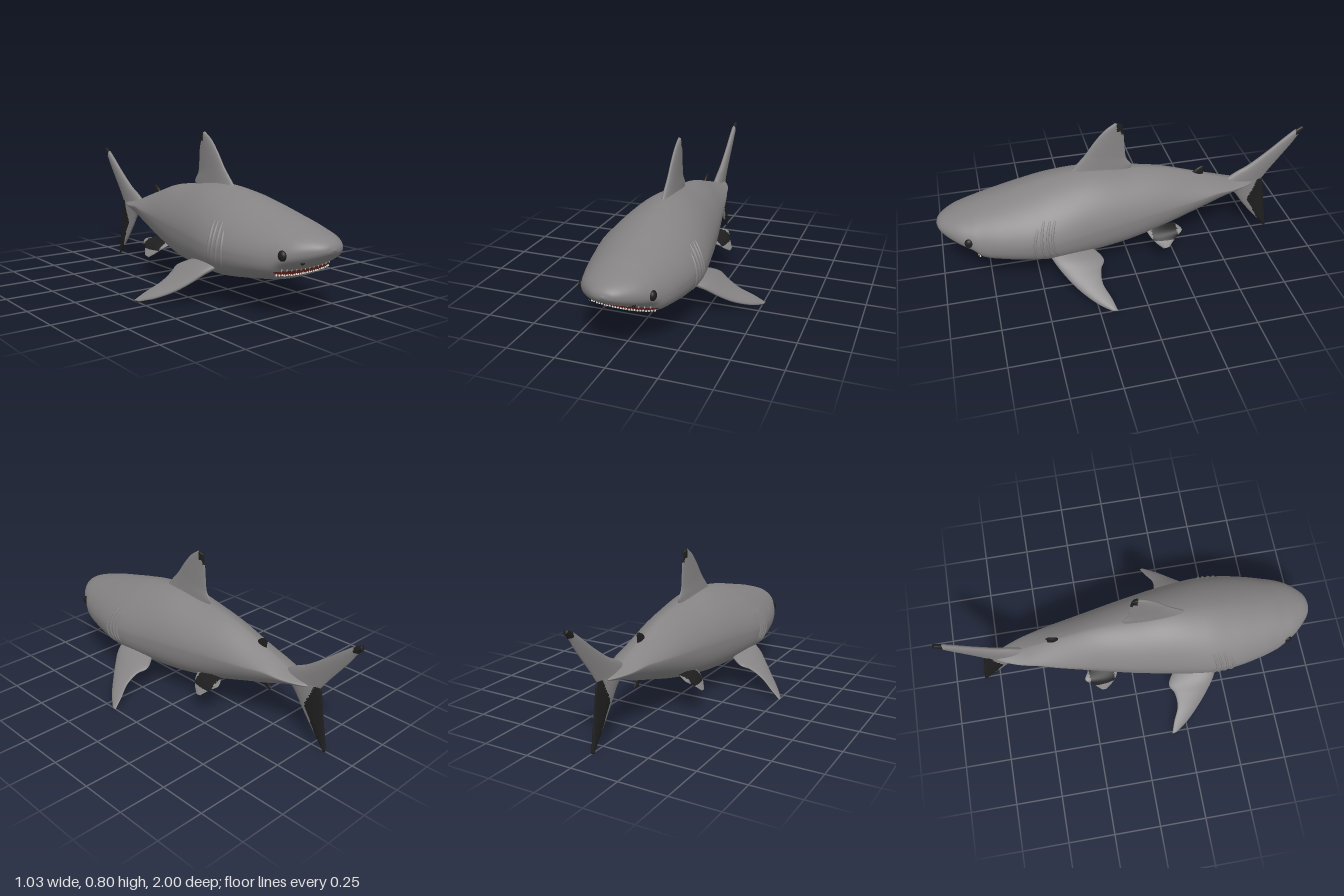
import * as THREE from 'three';

const mat = (name, color) => Object.assign(new THREE.MeshStandardMaterial({ color }), { name });
const V = (x, y, z) => new THREE.Vector3(x, y, z);
const lerp = THREE.MathUtils.lerp;

// Body stations: z, half width, top, bottom, height of the widest point
const STATIONS = [
  [-0.74, 0.004, 0.335, 0.325, 0.33], [-0.7, 0.035, 0.345, 0.315, 0.33],
  [-0.6, 0.075, 0.365, 0.29, 0.335], [-0.5, 0.1, 0.4, 0.25, 0.345],
  [-0.4, 0.125, 0.435, 0.22, 0.34], [-0.2, 0.165, 0.5, 0.165, 0.33],
  [0, 0.205, 0.53, 0.13, 0.32], [0.2, 0.24, 0.555, 0.115, 0.31],
  [0.4, 0.268, 0.537, 0.118, 0.295], [0.55, 0.262, 0.505, 0.138, 0.29],
  [0.7, 0.232, 0.467, 0.163, 0.285], [0.79, 0.205, 0.445, 0.187, 0.285],
  [0.83, 0.188, 0.432, 0.232, 0.3], [0.9, 0.147, 0.412, 0.265, 0.325],
  [0.96, 0.09, 0.39, 0.298, 0.34], [0.99, 0.045, 0.368, 0.325, 0.345],
  [1, 0, 0.346, 0.344, 0.345],
];

// Smooth cubic interpolation between stations
function station(z) {
  const S = STATIONS, last = S.length - 1;
  let i = 0;
  while (i < last - 1 && z > S[i + 1][0]) i++;
  const d = S[i + 1][0] - S[i][0], t = (z - S[i][0]) / d;
  const slope = (k, c) => {
    const a = Math.max(k - 1, 0), b = Math.min(k + 1, last);
    return (S[b][c] - S[a][c]) / (S[b][0] - S[a][0]);
  };
  const [hw, top, bottom, mid] = [1, 2, 3, 4].map((c) =>
    (2 * t ** 3 - 3 * t * t + 1) * S[i][c] + (t ** 3 - 2 * t * t + t) * d * slope(i, c) +
    (3 * t * t - 2 * t ** 3) * S[i + 1][c] + (t ** 3 - t * t) * d * slope(i + 1, c));
  const k = THREE.MathUtils.smoothstep(z, -0.6, 0.1);
  const nUp = lerp(1.35, 1.7, k) + 0.25 * THREE.MathUtils.smoothstep(z, 0.5, 0.9);
  return { hw: Math.max(hw, 0), top, bottom, mid, nUp, nLow: lerp(1.6, 2.5, k) };
}

// Half width of the body at a height, and the foremost surface at (x, y)
function widthAt(z, y) {
  const s = station(z), up = y > s.mid;
  const t = Math.abs(y - s.mid) / (up ? s.top - s.mid : s.mid - s.bottom);
  const n = up ? s.nUp : s.nLow;
  return t >= 1 ? 0 : s.hw * (1 - t ** n) ** (1 / n);
}
function frontZ(x, y) {
  let z = 0.999;
  while (z > 0.6 && widthAt(z, y) <= Math.abs(x)) z -= 0.001;
  return z;
}

// Skin closed loops of points; paint(centre, column) picks the material slot
function loft(rows, paint = () => 0) {
  const n = rows[0].length, pts = rows.flat(), lists = [[], []];
  const tris = [];
  let volume = 0;
  const o = rows[0][0];
  for (let i = 0; i < rows.length - 1; i++) {
    for (let j = 0; j < n; j++) {
      const a = i * n + j, b = i * n + (j + 1) % n, c = a + n, d = b + n;
      const centre = pts[a].clone().add(pts[b]).add(pts[c]).add(pts[d]).multiplyScalar(0.25);
      const slot = paint(centre, j / n);
      for (const t of [[a, b, c], [b, d, c]]) {
        tris.push([t, slot]);
        const [p, q, r] = t.map((k) => pts[k].clone().sub(o));
        volume += p.dot(q.cross(r));
      }
    }
  }
  for (const [t, slot] of tris) lists[slot].push(...(volume < 0 ? t.reverse() : t));
  const g = new THREE.BufferGeometry().setFromPoints(pts);
  g.setIndex([...lists[0], ...lists[1]]);
  g.addGroup(0, lists[0].length, 0);
  g.addGroup(lists[0].length, lists[1].length, 1);
  g.computeVertexNormals();
  return g;
}

// Fin from rows of [leading point, trailing point, half thickness]
function finGeometry(rows, normal, paint) {
  const lead = new THREE.CatmullRomCurve3(rows.map((r) => V(...r[0])));
  const trail = new THREE.CatmullRomCurve3(rows.map((r) => V(...r[1])));
  const N = V(...normal).normalize(), SPAN = 70, HALF = 22, loops = [];
  for (let i = 0; i <= SPAN; i++) {
    const t = i / SPAN, f = t * (rows.length - 1), k = Math.min(Math.floor(f), rows.length - 2);
    const h = lerp(rows[k][2], rows[k + 1][2], f - k);
    const L = lead.getPoint(t), T = trail.getPoint(t);
    loops.push(Array.from({ length: HALF * 2 }, (_, j) => {
      const a = (j / HALF) * Math.PI, u = (1 - Math.cos(a)) / 2;
      return L.clone().lerp(T, u).addScaledVector(N, h * Math.sin(a) * (1.25 - 0.5 * u));
    }));
  }
  const tip = loops[SPAN].reduce((s, p) => s.add(p), V(0, 0, 0)).divideScalar(HALF * 2);
  loops.push(loops[SPAN].map(() => tip.clone()));
  return loft(loops, paint);
}

export function createModel() {
  const model = new THREE.Group();
  model.name = 'shark';
  const grey = mat('skinGrey', 0x858383), black = mat('finBlack', 0x1e1e1e);
  const red = mat('mouthRed', 0x7c2c24), white = mat('toothWhite', 0xd8d4cc);
  const add = (name, geometry, material, parent = model) => {
    const m = new THREE.Mesh(geometry, material);
    m.name = name;
    parent.add(m);
    return m;
  };
  const skin = [grey, black];

  // Body
  const loops = [];
  for (let i = 0; i <= 110; i++) {
    const z = -0.74 + 1.74 * Math.sin((i / 110) * Math.PI / 2), s = station(z);
    loops.push(Array.from({ length: 64 }, (_, j) => {
      const a = (j / 64) * Math.PI * 2, c = Math.cos(a), v = Math.sin(a);
      const e = 2 / (v > 0 ? s.nUp : s.nLow);
      return V(Math.sign(c) * s.hw * Math.abs(c) ** e,
        s.mid + (v > 0 ? s.top - s.mid : s.bottom - s.mid) * Math.abs(v) ** e, z);
    }));
  }
  add('body', loft(loops), grey);

  // Upright fins on the centre line: [leadZ, leadY, trailZ, trailY, half thickness]
  const upright = (name, rows, paint) => add(name, finGeometry(
    rows.map(([lz, ly, tz, ty, h]) => [[0, ly, lz], [0, ty, tz], h]), [1, 0, 0], paint), skin);
  upright('dorsalFin', [
    [0.33, 0.51, -0.01, 0.5, 0.03], [0.28, 0.565, -0.035, 0.54, 0.022], [0.215, 0.635, -0.006, 0.59, 0.017],
    [0.16, 0.71, 0.003, 0.67, 0.014], [0.105, 0.77, 0.008, 0.74, 0.011], [0.05, 0.806, 0.014, 0.79, 0.009],
  ], (p) => (p.z < 0.045 && p.y > (p.z < 0.022 ? 0.735 : 0.758) ? 1 : 0));
  upright('secondDorsalFin', [
    [-0.33, 0.39, -0.43, 0.39, 0.013], [-0.37, 0.435, -0.437, 0.415, 0.011],
    [-0.395, 0.46, -0.437, 0.44, 0.009], [-0.425, 0.474, -0.443, 0.465, 0.005],
  ], (p) => (p.y > 0.425 ? 1 : 0));
  upright('analFin', [
    [-0.36, 0.26, -0.45, 0.285, 0.012], [-0.395, 0.245, -0.455, 0.255, 0.01],
    [-0.43, 0.212, -0.46, 0.228, 0.008], [-0.458, 0.197, -0.477, 0.203, 0.005],
  ], (p) => (p.y < 0.247 ? 1 : 0));
  upright('upperTailLobe', [
    [-0.54, 0.345, -0.77, 0.32, 0.024], [-0.63, 0.4, -0.79, 0.345, 0.02], [-0.69, 0.43, -0.825, 0.395, 0.018],
    [-0.8, 0.508, -0.877, 0.462, 0.015], [-0.9, 0.588, -0.94, 0.545, 0.013], [-0.955, 0.628, -0.968, 0.588, 0.012],
    [-0.988, 0.645, -1, 0.625, 0.01],
  ], (p) => (p.z < -0.952 && p.y > 0.6 ? 1 : 0));
  upright('lowerTailLobe', [
    [-0.55, 0.32, -0.775, 0.36, 0.024], [-0.62, 0.275, -0.79, 0.325, 0.02], [-0.68, 0.19, -0.803, 0.25, 0.016],
    [-0.74, 0.11, -0.815, 0.17, 0.014], [-0.79, 0.05, -0.828, 0.09, 0.012], [-0.825, 0.003, -0.84, 0.003, 0.009],
  ], (p) => (p.z < (p.y > 0.22 ? -0.76 + (0.35 - p.y) * 0.43 : -0.704 - (0.22 - p.y) * 0.5) ? 1 : 0));

  // Paired parts
  for (const s of [1, -1]) {
    const side = s > 0 ? 'left' : 'right';
    const paired = (name, rows, normal, paint) => add(side + name, finGeometry(
      rows.map(([L, T, h]) => [[s * L[0], L[1], L[2]], [s * T[0], T[1], T[2]], h]),
      [s * normal[0], normal[1], normal[2]], paint), skin);
    paired('PectoralFin', [
      [[0.18, 0.215, 0.47], [0.16, 0.2, 0.25], 0.03], [[0.27, 0.17, 0.43], [0.27, 0.157, 0.18], 0.024],
      [[0.33, 0.12, 0.385], [0.32, 0.135, 0.205], 0.019], [[0.39, 0.073, 0.33], [0.385, 0.095, 0.21], 0.015],
      [[0.46, 0.032, 0.255], [0.455, 0.05, 0.18], 0.011], [[0.505, 0.009, 0.19], [0.512, 0.01, 0.16], 0.007],
    ], [0.53, 0.85, 0], (p, j) => (Math.abs(p.x) > 0.468 && j >= 0.5 ? 1 : 0));
    paired('PelvicFin', [
      [[0.13, 0.2, -0.08], [0.12, 0.215, -0.24], 0.012], [[0.175, 0.175, -0.1], [0.175, 0.2, -0.272], 0.009],
      [[0.2, 0.15, -0.125], [0.2, 0.168, -0.23], 0.007], [[0.222, 0.125, -0.16], [0.225, 0.132, -0.19], 0.005],
    ], [0.75, 0.66, 0], (p, j) => (j < 0.5 && p.z < -0.11 && p.z > -0.245 && p.y > 0.164 ? 1 : 0));

    // Eye and nostril
    const eye = add(side + 'Eye', new THREE.SphereGeometry(0.025, 20, 14), black);
    eye.scale.set(0.7, 1, 0.95);
    eye.position.set(s * (widthAt(0.845, 0.315) - 0.009), 0.315, 0.848);
    const nostril = add(side + 'Nostril', new THREE.SphereGeometry(0.01, 12, 8), black);
    nostril.position.set(s * 0.105, 0.285, frontZ(0.105, 0.285) - 0.003);

    // Gill ridges
    const gills = new THREE.Group();
    gills.name = side + 'Gills';
    model.add(gills);
    [0.53, 0.495, 0.465, 0.44].forEach((z0, i) => {
      const pts = Array.from({ length: 9 }, (_, k) => {
        const t = k / 8, y = lerp(0.2 + i * 0.008, 0.38 + Math.min(i, 1) * 0.03, t);
        const z = z0 - 0.025 * (2 * t - 1) ** 2;
        return V(s * (widthAt(z, y) - 0.002 - 0.006 * (2 * t - 1) ** 4), y, z);
      });
      add('gillRidge', new THREE.TubeGeometry(new THREE.CatmullRomCurve3(pts), 24, 0.008, 8), grey, gills);
    });
  }

  // Mouth: a thin strip wrapped round the jaw, its corners turned up
  const lip = (x) => 0.22 + 0.012 * (x / 0.18) ** 2;
  const strip = new THREE.PlaneGeometry(0.36, 1, 48, 4), pos = strip.attributes.position;
  for (let i = 0; i < pos.count; i++) {
    const x = pos.getX(i), f = 1 - Math.abs(x / 0.18) ** 3;
    const y = lip(x) + pos.getY(i) * (0.006 + 0.018 * f);
    pos.setXYZ(i, x, y, frontZ(x, y) + 0.005);
  }
  strip.computeVertexNormals();
  red.side = THREE.DoubleSide;
  add('mouth', strip, red);

  // Teeth in two rows
  const teeth = new THREE.Group();
  teeth.name = 'teeth';
  model.add(teeth);
  const cone = new THREE.ConeGeometry(0.005, 0.014, 6);
  const tooth = (name, x, y, turn) => {
    const m = add(name, cone, white, teeth);
    m.position.set(x, y, frontZ(x, y) + 0.004);
    m.rotation.z = turn;
  };
  for (let i = 0; i < 25; i++) {
    const x = lerp(-0.162, 0.162, i / 24);
    tooth('lowerTooth', x, lip(x) - 0.009 + (i % 3) * 0.001, 0);
    if (i % 2) tooth('upperTooth', x, lip(x) + 0.011, Math.PI);
  }
  return model;
}
